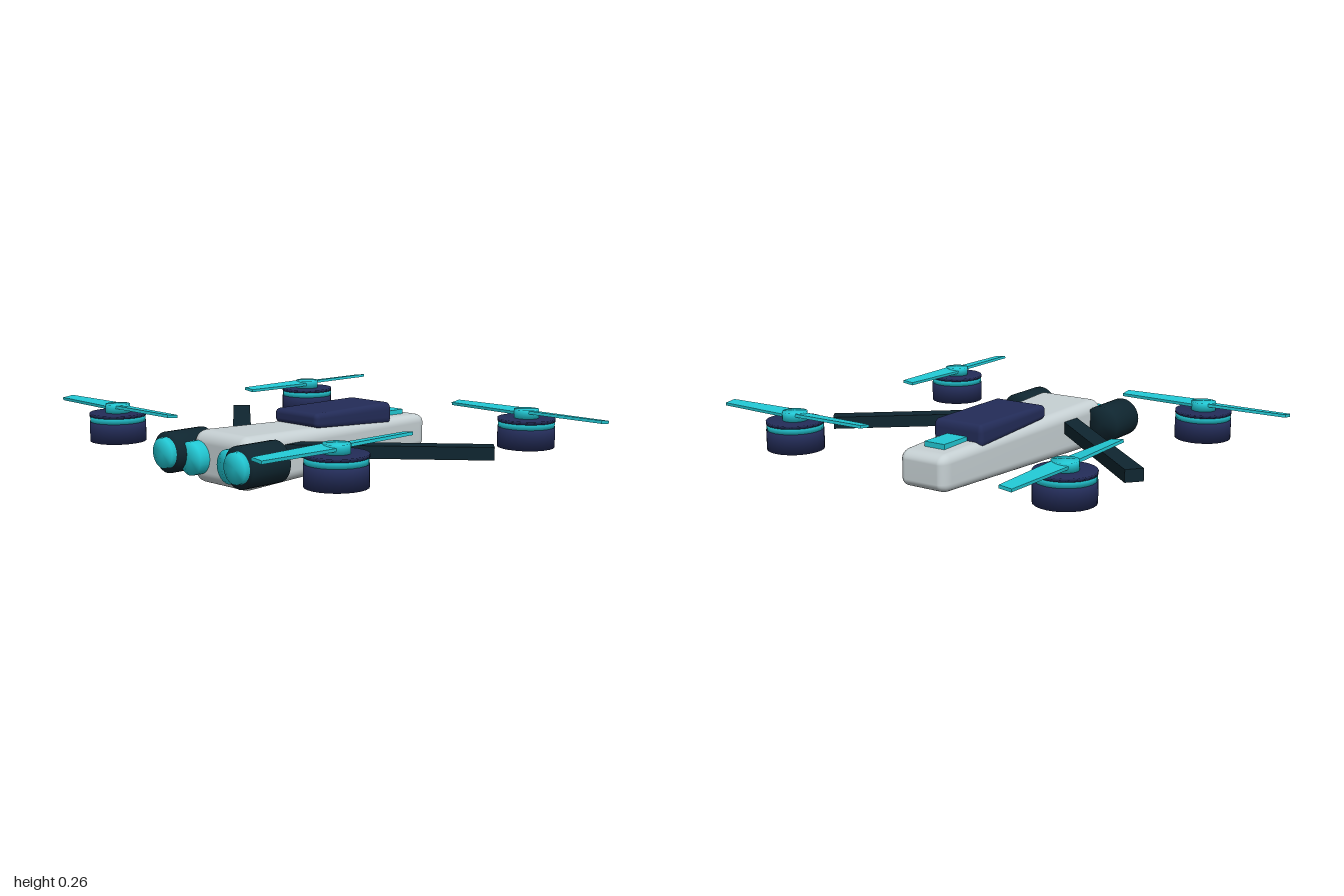
import * as THREE from 'three';
import { mergeVertices } from 'three/addons/utils/BufferGeometryUtils.js';
import { RoundedBoxGeometry } from 'three/addons/geometries/RoundedBoxGeometry.js';

const material = (name, color) => {
  const m = new THREE.MeshStandardMaterial({ color });
  m.name = name;
  return m;
};

// Share vertices so that the shading runs softly over the edges
function soften(geometry) {
  geometry.deleteAttribute('normal');
  geometry.deleteAttribute('uv');
  const merged = mergeVertices(geometry, 1e-4);
  merged.clearGroups();
  merged.computeVertexNormals();
  return merged;
}

// Rounded box along z whose half width, bottom and top run from rear to front
function taperedShell(rear, front, radius) {
  const length = front.z - rear.z;
  const g = new RoundedBoxGeometry(2 * front.half, front.top - front.bottom, length, 5, radius);
  const p = g.attributes.position;
  const { lerp } = THREE.MathUtils;
  for (let i = 0; i < p.count; i++) {
    const t = p.getZ(i) / length + 0.5;
    const v = p.getY(i) / (front.top - front.bottom) + 0.5;
    p.setXYZ(
      i,
      p.getX(i) * lerp(rear.half, front.half, t) / front.half,
      lerp(lerp(rear.bottom, front.bottom, t), lerp(rear.top, front.top, t), v),
      lerp(rear.z, front.z, t)
    );
  }
  return soften(g);
}

// Upright cylinder between two heights
function disc(radius, y0, y1, sides = 24) {
  return soften(new THREE.CylinderGeometry(radius, radius, y1 - y0, sides).translate(0, (y0 + y1) / 2, 0));
}

// Cylinder along z
function barrel(radius, z0, z1) {
  return disc(radius, z0, z1).rotateX(Math.PI / 2);
}

// Thin blade running outward along +x, narrower at the tip
function bladeGeometry() {
  const length = 0.365;
  const shape = new THREE.Shape();
  shape.moveTo(0, -0.036);
  shape.lineTo(length, -0.025);
  shape.lineTo(length, 0.025);
  shape.lineTo(0, 0.036);
  return new THREE.ExtrudeGeometry(shape, { depth: 0.012, bevelEnabled: false })
    .translate(0, 0, -0.006)
    .rotateX(-Math.PI / 2)
    .rotateX(-0.12);
}

export function createModel() {
  const model = new THREE.Group();
  model.name = 'quadcopter';
  const shell = material('pale grey', 0xc6d0d3);
  const navy = material('navy', 0x232c58);
  const dark = material('dark slate', 0x0f2630);
  const teal = material('teal', 0x22c8d4);

  const add = (parent, name, geometry, mat, x = 0, y = 0, z = 0) => {
    const mesh = new THREE.Mesh(geometry, mat);
    mesh.name = name;
    mesh.position.set(x, y, z);
    parent.add(mesh);
    return mesh;
  };

  // Body, canopy and tail light
  add(model, 'body', taperedShell(
    { z: -0.545, half: 0.107, bottom: 0.035, top: 0.18 },
    { z: 0.535, half: 0.163, bottom: 0, top: 0.21 }, 0.05), shell);
  add(model, 'canopy', taperedShell(
    { z: -0.315, half: 0.116, bottom: 0.16, top: 0.255 },
    { z: 0.133, half: 0.124, bottom: 0.195, top: 0.253 }, 0.02), navy);
  add(model, 'tailLight', new THREE.BoxGeometry(0.094, 0.03, 0.17), teal, 0, 0.188, -0.373);

  // Swept arms, camera pods and lenses on both sides
  for (const side of [1, -1]) {
    const name = side > 0 ? 'left' : 'right';
    const arm = add(model, name + 'Arm', new THREE.BoxGeometry(0.806, 0.05, 0.074), dark, side * 0.421, 0.137, 0.047);
    arm.rotation.y = side * 0.715;
    add(model, name + 'Pod', barrel(0.081, 0.43, 0.612), dark, side * 0.211, 0.12, 0);
    add(model, name + 'PodLens', barrel(0.06, 0.58, 0.635), teal, side * 0.211, 0.12, 0);
    add(model, name + 'NoseLens', barrel(0.066, 0.48, 0.58), teal, side * 0.113, 0.105, 0);
  }

  // Four rotors; diagonal pairs are turned by a quarter
  const blade = bladeGeometry();
  for (const x of [-0.633, 0.633]) {
    for (const z of [-0.545, 0.538]) {
      const rotor = new THREE.Group();
      rotor.name = (z > 0 ? 'front' : 'rear') + (x > 0 ? 'Left' : 'Right') + 'Rotor';
      rotor.position.set(x, 0, z);
      add(rotor, 'motor', disc(0.115, 0.106, 0.188), navy);
      add(rotor, 'motorRing', disc(0.113, 0.186, 0.212), teal);
      add(rotor, 'motorCap', disc(0.115, 0.21, 0.223), navy);
      add(rotor, 'hub', disc(0.05, 0.22, 0.258), teal);
      const propeller = new THREE.Group();
      propeller.name = 'propeller';
      propeller.position.y = 0.246;
      for (const turn of [0, Math.PI]) add(propeller, 'blade', blade, teal).rotation.y = turn;
      if (x * z > 0) propeller.rotation.y = -Math.PI / 2;
      rotor.add(propeller);
      model.add(rotor);
    }
  }
  return model;
}
